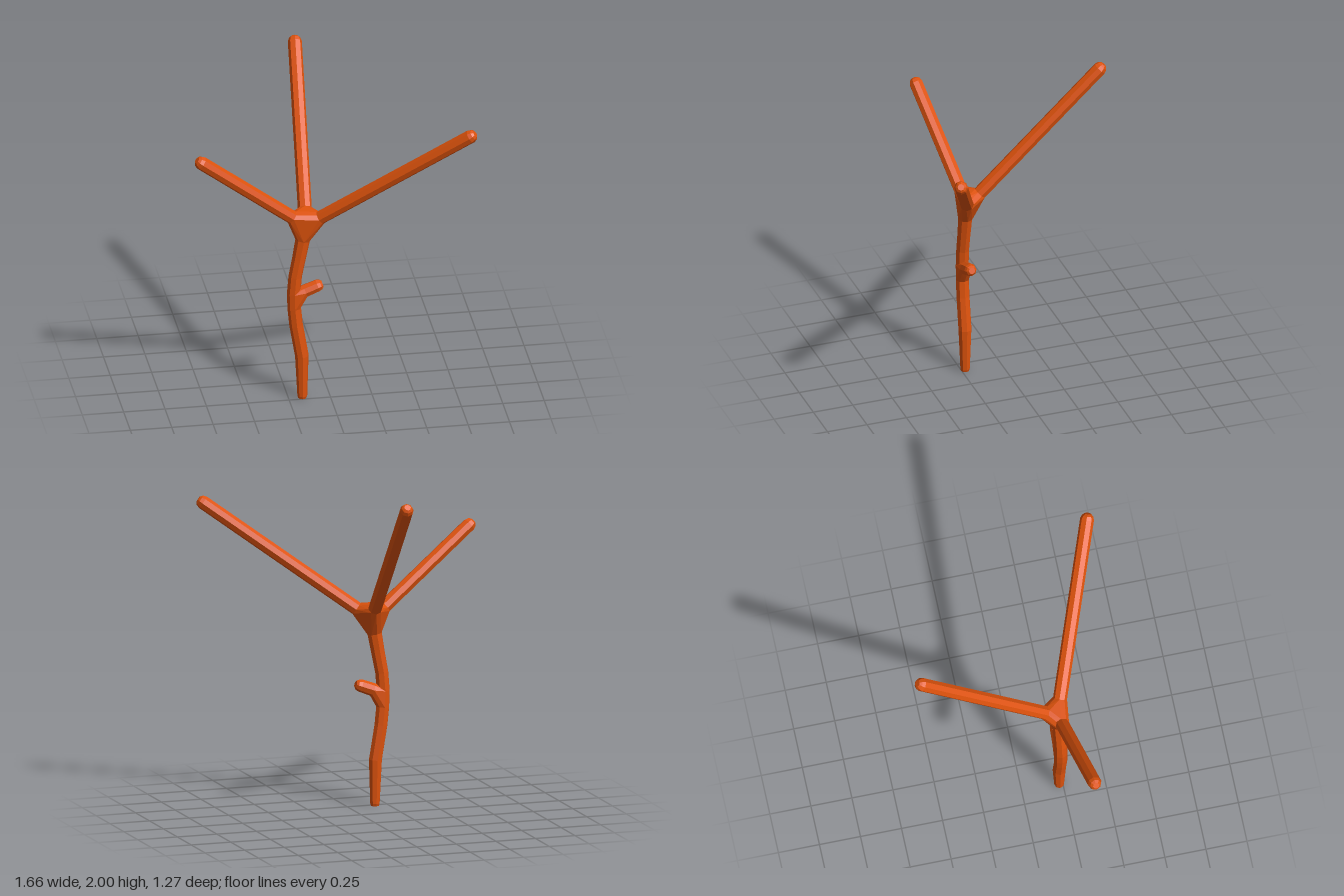
import * as THREE from 'three';
import { ConvexGeometry } from 'three/addons/geometries/ConvexGeometry.js';

const SIDES = 8;
const V = (x, y, z) => new THREE.Vector3(x, y, z);

// Octagonal ring around a centre, facing along dir, with one corner towards ref
function ring(center, dir, r, ref) {
  const d = dir.clone().normalize();
  const u = ref.clone().addScaledVector(d, -ref.dot(d)).normalize();
  const v = d.clone().cross(u);
  return Array.from({ length: SIDES }, (_, j) => {
    const a = (j / SIDES) * Math.PI * 2;
    return center.clone().addScaledVector(u, r * Math.cos(a)).addScaledVector(v, r * Math.sin(a));
  });
}

// Skin a list of rings and close both ends
function loft(rings) {
  const pos = rings.flat().flatMap((p) => p.toArray());
  const idx = [];
  const last = (rings.length - 1) * SIDES;
  for (let i = 0; i < rings.length - 1; i++) {
    for (let j = 0; j < SIDES; j++) {
      const k = (j + 1) % SIDES;
      const a = i * SIDES + j, b = i * SIDES + k;
      idx.push(a, b, b + SIDES, a, b + SIDES, a + SIDES);
    }
  }
  for (let j = 1; j < SIDES - 1; j++) {
    idx.push(0, j + 1, j, last, last + j, last + j + 1);
  }
  const g = new THREE.BufferGeometry();
  g.setAttribute('position', new THREE.Float32BufferAttribute(pos, 3));
  g.setIndex(idx);
  const flat = g.toNonIndexed();
  flat.computeVertexNormals();
  return flat;
}

export function createModel() {
  const group = new THREE.Group();
  const bark = new THREE.MeshStandardMaterial({ color: 0xdd520c });
  bark.name = 'orange bark';
  bark.flatShading = true;
  const add = (name, geometry) => {
    const m = new THREE.Mesh(geometry, bark);
    m.name = name;
    group.add(m);
  };
  const up = V(0, 1, 0), front = V(0, 0, 1);
  const Z = 0.228;

  // Bent trunk: x, y, radius
  const trunk = [
    [-0.167, 0, 0.025], [-0.167, 0.015, 0.03], [-0.17, 0.28, 0.041], [-0.205, 0.49, 0.041],
    [-0.216, 0.6, 0.041], [-0.219, 0.7, 0.041], [-0.21, 0.81, 0.041],
    [-0.187, 0.93, 0.042], [-0.165, 1.05, 0.045], [-0.15, 1.15, 0.05],
  ];
  const trunkRings = trunk.map(([x, y, r], i) => {
    const p = trunk[Math.max(i - 1, 0)], n = trunk[Math.min(i + 1, trunk.length - 1)];
    const dir = i < 2 ? up : V(n[0] - p[0], n[1] - p[1], 0);
    return ring(V(x, y, Z), dir, r, front);
  });
  add('trunk', loft(trunkRings));

  // Three straight branches with rounded tips, meeting in a webbed fork
  const fork = V(-0.145, 1.14, 0.222);
  const forkPoints = [...trunkRings[8]];
  const branches = {
    rightBranch: V(-0.815, 1.67, 0.317),
    leftBranch: V(0.813, 1.858, 0.607),
    backBranch: V(-0.077, 1.983, -0.615),
  };
  for (const [name, tip] of Object.entries(branches)) {
    const dir = tip.clone().sub(fork).normalize();
    const at = (p, s, r) => ring(p.clone().addScaledVector(dir, s), dir, r, up);
    const base = at(fork, 0.11, 0.042);
    forkPoints.push(...base);
    add(name, loft([at(fork, 0, 0.042), base, at(tip, -0.03, 0.042), at(tip, -0.008, 0.034), at(tip, 0.004, 0.02)]));
  }
  add('fork', new ConvexGeometry(forkPoints));

  // Short side twig and its flared root
  const twigDir = V(0.1, 0.036, 0);
  const twig = [
    [-0.215, 0.685, 0.04], [-0.15, 0.709, 0.04], [-0.075, 0.738, 0.038], [-0.056, 0.744, 0.032], [-0.045, 0.748, 0.02],
  ].map(([x, y, r]) => ring(V(x, y, Z), twigDir, r, up));
  add('twig', loft(twig));
  add('twigRoot', new ConvexGeometry([...trunkRings[4], ...trunkRings[5], ...twig[1]]));

  return group;
}
